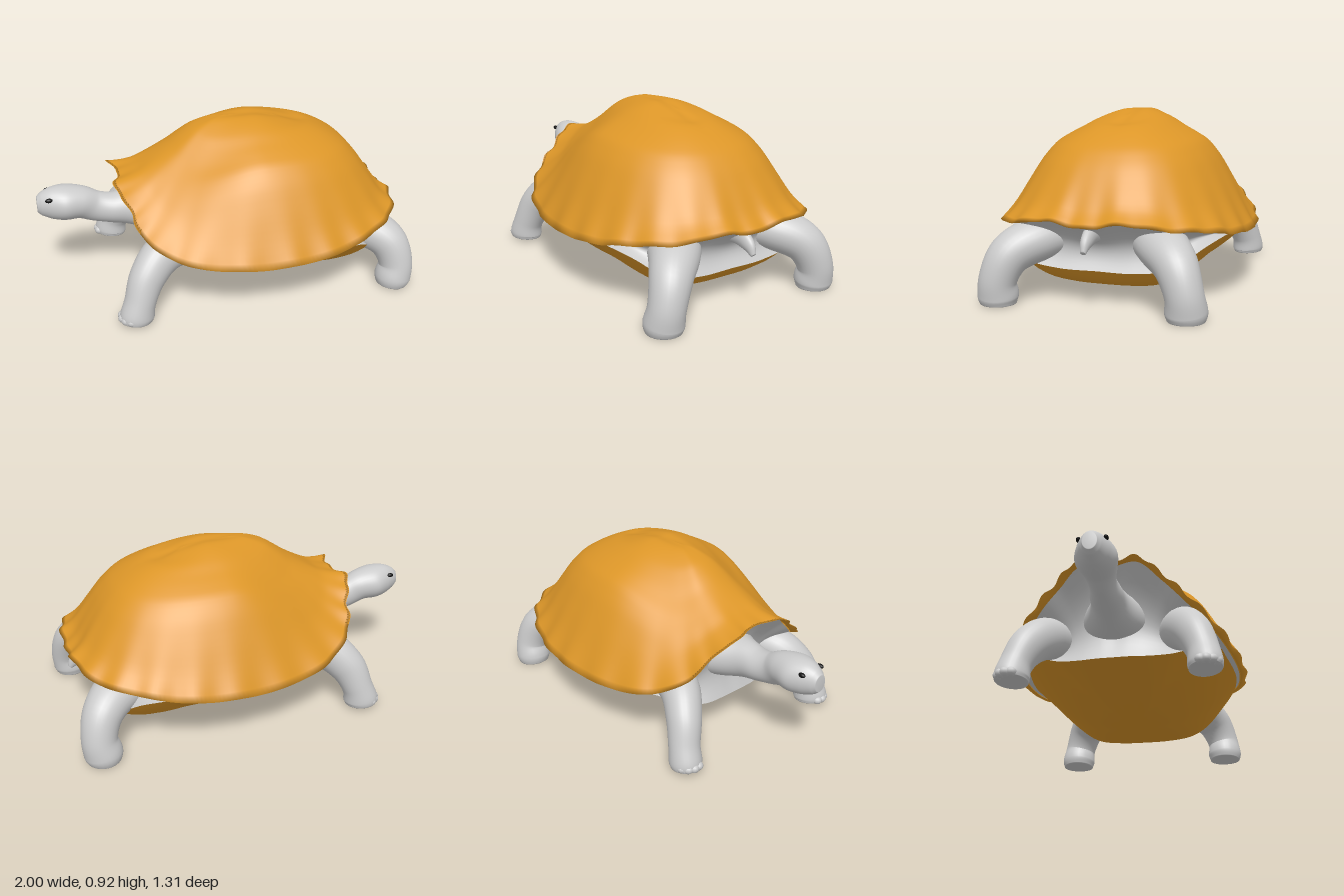
import * as THREE from 'three';

const grey = new THREE.MeshStandardMaterial({ color: 0xcccccc, side: THREE.DoubleSide });
const shellMat = new THREE.MeshStandardMaterial({ color: 0xdc9628, side: THREE.DoubleSide });
const black = new THREE.MeshStandardMaterial({ color: 0x111111 });
const V = (x, y, z) => new THREE.Vector3(x, y, z);

// Skin a list of closed rings, each running anticlockwise about the direction of travel
function skin(rings) {
  const n = rings[0].length, pos = [], idx = [];
  rings.forEach(r => r.forEach(p => pos.push(p.x, p.y, p.z)));
  for (let i = 0; i < rings.length - 1; i++) {
    for (let j = 0; j < n; j++) {
      const k = (j + 1) % n, a = i * n + j, b = i * n + k;
      idx.push(a, b, a + n, b, b + n, a + n);
    }
  }
  const g = new THREE.BufferGeometry();
  g.setAttribute('position', new THREE.Float32BufferAttribute(pos, 3));
  g.setIndex(idx);
  g.computeVertexNormals();
  return g;
}

// Tapered limb: points [x, y, z, radius in the bend plane, radius along ref]
function limb(pts, ref, steps = 40, sides = 28) {
  const path = new THREE.CatmullRomCurve3(pts.map(p => V(p[0], p[1], p[2])));
  const radii = new THREE.CatmullRomCurve3(pts.map((p, i) => V(p[3], p[4], i * 0.1)));
  const rings = [];
  for (let i = 0; i <= steps; i++) {
    const c = path.getPoint(i / steps), r = radii.getPoint(i / steps);
    const T = path.getTangent(i / steps);
    const N = T.clone().cross(ref).normalize(), B = T.clone().cross(N);
    const ring = (f) => Array.from({ length: sides }, (_, j) => {
      const a = j / sides * Math.PI * 2;
      const p = c.clone().addScaledVector(N, Math.cos(a) * r.x * f).addScaledVector(B, Math.sin(a) * r.y * f);
      p.y = Math.max(0, p.y);
      return p;
    });
    if (i === 0) rings.push(ring(0));
    rings.push(ring(1));
    if (i === steps) rings.push(ring(0.85), ring(0));
  }
  return skin(rings);
}

// Closed outline mirrored from its +z half, running from the front round to the rear
const COUNT = 264;
function outline(half) {
  const other = half.slice(1, -1).reverse().map(([x, y, z]) => [x, y, -z]);
  const curve = new THREE.CatmullRomCurve3([...half, ...other].map(p => V(...p)), true);
  return Array.from({ length: COUNT }, (_, j) => curve.getPoint(j / COUNT));
}

// Running average of an outline, without its notches
function soften(rim, reach) {
  return rim.map((_, j) => {
    const sum = V(0, 0, 0);
    for (let k = -reach; k <= reach; k++) sum.add(rim[(j + k + COUNT) % COUNT]);
    return sum.divideScalar(2 * reach + 1);
  });
}

const shellRim = outline([
  [-0.56, 0.65, 0], [-0.6, 0.645, 0.16], [-0.545, 0.56, 0.28], [-0.5, 0.45, 0.4],
  [-0.33, 0.35, 0.535], [-0.05, 0.31, 0.62], [0.25, 0.315, 0.65], [0.5, 0.335, 0.62],
  [0.72, 0.375, 0.535], [0.89, 0.4, 0.39], [0.965, 0.43, 0.18], [0.97, 0.405, 0]]);
const softRim = soften(shellRim, 14);
const bellyRim = outline([
  [-0.41, 0.18, 0], [-0.41, 0.18, 0.08], [-0.4, 0.18, 0.18], [-0.36, 0.2, 0.29],
  [-0.27, 0.26, 0.41], [-0.1, 0.315, 0.55], [0.25, 0.32, 0.6], [0.5, 0.33, 0.575],
  [0.67, 0.29, 0.5], [0.78, 0.2, 0.37], [0.8, 0.172, 0.2], [0.8, 0.17, 0]]);

// Share of front, side and rear in a horizontal direction
function shares(p, c) {
  const dx = p.x - c.x, dz = p.z - c.z, l = dx * dx + dz * dz;
  return { front: dx < 0 ? dx * dx / l : 0, rear: dx > 0 ? dx * dx / l : 0, side: dz * dz / l };
}

// Height of the dome from spine (1) to rim (0), at equal steps outwards
const profile = list => {
  const c = new THREE.CatmullRomCurve3(list.map((v, i) => V(i / 10, v, 0)));
  return t => c.getPoint(t).y;
};
const domeFront = profile([1, 0.97, 0.9, 0.81, 0.67, 0.51, 0.37, 0.24, 0.12, 0.05, 0]);
const domeSide = profile([1, 0.985, 0.955, 0.91, 0.85, 0.795, 0.73, 0.6, 0.41, 0.2, 0]);
const domeRear = profile([0.95, 0.9, 0.86, 0.84, 0.79, 0.72, 0.63, 0.49, 0.3, 0.11, 0]);

function upperShell() {
  const apex = V(0.17, 0.925, 0), rings = [], steps = 36;
  // rolled underside of the lip
  rings.push(shellRim.map(p => V(0.2 + (p.x - 0.2) * 0.95, p.y - 0.006, p.z * 0.95)));
  for (let i = 0; i <= steps; i++) {
    const t = 1 - i / steps, f = domeFront(t), s = domeSide(t), r = domeRear(t);
    rings.push(softRim.map((soft, j) => {
      const p = soft.clone().lerp(shellRim[j], t ** 4);
      const w = shares(soft, apex), a = j / COUNT * Math.PI * 2;
      const h = f * w.front + s * w.side + r * w.rear;
      const scallop = Math.cos(a * 26) * 0.011 * t ** 10;
      // the dome closes on a short spine rather than a single point
      const spineX = apex.x + (p.x - apex.x) * 0.18;
      const q = V(
        spineX + (p.x - spineX) * (t + scallop),
        p.y + (apex.y - p.y) * h + scallop * 0.5,
        p.z * (t + scallop));
      // shallow groove along the spine
      q.y -= 0.013 * Math.exp(-((q.z / 0.035) ** 2)) * Math.exp(-(((q.x - 0.17) / 0.25) ** 2));
      return q;
    }));
  }
  return skin(rings);
}

function bellyPlate() {
  const base = V(0.32, 0.057, 0), rings = [], steps = 20;
  for (let i = 0; i <= steps; i++) {
    const t = i / steps;
    rings.push(bellyRim.map(p => {
      const w = shares(p, base), e = 1.3 * w.front + 2.3 * w.side + 6 * w.rear;
      return V(base.x + (p.x - base.x) * t, base.y + (p.y - base.y) * t ** e, p.z * t);
    }));
  }
  return skin(rings);
}

// Soft body wall between the belly plate and the upper shell
function bodyWall() {
  const rings = [];
  for (let i = 0; i <= 12; i++) {
    const t = i / 12, pinch = 1 - 0.09 * Math.sin(Math.PI * t);
    rings.push(bellyRim.map((p, j) => {
      const q = shellRim[j], k = t * t;
      const x = p.x + (0.2 + (q.x - 0.2) * 0.94 - p.x) * k;
      const z = p.z + (q.z * 0.94 - p.z) * k;
      return V(0.2 + (x - 0.2) * pinch, p.y + (q.y - 0.006 - p.y) * t, z * pinch);
    }));
  }
  return skin(rings);
}

export function createModel() {
  const model = new THREE.Group();
  const add = (name, geo, mat, parent = model) => {
    const m = new THREE.Mesh(geo, mat);
    m.name = name;
    parent.add(m);
    return m;
  };

  add('upperShell', upperShell(), shellMat);
  add('bellyPlate', bellyPlate(), shellMat);
  add('body', bodyWall(), grey);

  // Head and neck in one sweep
  add('headAndNeck', limb([
    [-0.998, 0.51, 0, 0.045, 0.035], [-0.975, 0.51, 0, 0.066, 0.052], [-0.92, 0.51, 0, 0.089, 0.082],
    [-0.85, 0.506, 0, 0.096, 0.105], [-0.77, 0.495, 0, 0.09, 0.09], [-0.69, 0.46, 0, 0.085, 0.07],
    [-0.6, 0.44, 0, 0.086, 0.084], [-0.5, 0.435, 0, 0.105, 0.1], [-0.35, 0.42, 0, 0.13, 0.18],
    [-0.1, 0.4, 0, 0.13, 0.25]], V(0, 0, 1), 64, 36), grey);

  add('tail', limb([
    [0.72, 0.37, 0, 0.07, 0.06], [0.84, 0.365, 0, 0.055, 0.036], [0.92, 0.33, 0, 0.038, 0.026],
    [0.955, 0.29, 0, 0.014, 0.014]], V(0, 0, 1), 20, 16), grey);

  for (const s of [1, -1]) {
    const side = s > 0 ? 'left' : 'right';
    const eye = add(side + 'Eye', new THREE.SphereGeometry(0.02, 16, 12), black);
    eye.position.set(-0.935, 0.556, s * 0.066);
    eye.scale.set(1, 0.6, 0.6);

    // Front leg with toes turned outwards
    const front = new THREE.Group();
    front.name = side + 'FrontLeg';
    model.add(front);
    add('limb', limb([
      [-0.1, 0.33, s * 0.28, 0.08, 0.12], [-0.37, 0.33, s * 0.35, 0.11, 0.105],
      [-0.485, 0.24, s * 0.42, 0.102, 0.092], [-0.54, 0.12, s * 0.465, 0.085, 0.082],
      [-0.56, 0.045, s * 0.475, 0.094, 0.086], [-0.562, 0.02, s * 0.475, 0.088, 0.08]],
      V(0.5, 0, s * 0.86).normalize()), grey, front);

    // Rear leg, broad at the hip
    const rear = new THREE.Group();
    rear.name = side + 'RearLeg';
    model.add(rear);
    add('limb', limb([
      [0.48, 0.31, s * 0.18, 0.09, 0.14], [0.74, 0.305, s * 0.31, 0.11, 0.13],
      [0.865, 0.24, s * 0.415, 0.105, 0.105], [0.905, 0.12, s * 0.465, 0.093, 0.092],
      [0.892, 0.04, s * 0.472, 0.1, 0.1], [0.888, 0.0, s * 0.472, 0.088, 0.09]],
      V(-0.6, 0, s * 0.8).normalize()), grey, rear);

    // Low toes along the outer edge of the front foot
    for (let i = 0; i < 4; i++) {
      const a = -0.3 + i * 0.45;
      const toe = add('toe', new THREE.SphereGeometry(0.03, 12, 10), grey, front);
      toe.position.set(-0.56 - Math.cos(a) * 0.078, 0.042, s * (0.475 + Math.sin(a) * 0.066));
      toe.scale.set(0.9, 0.8, 0.9);
    }
  }
  return model;
}
